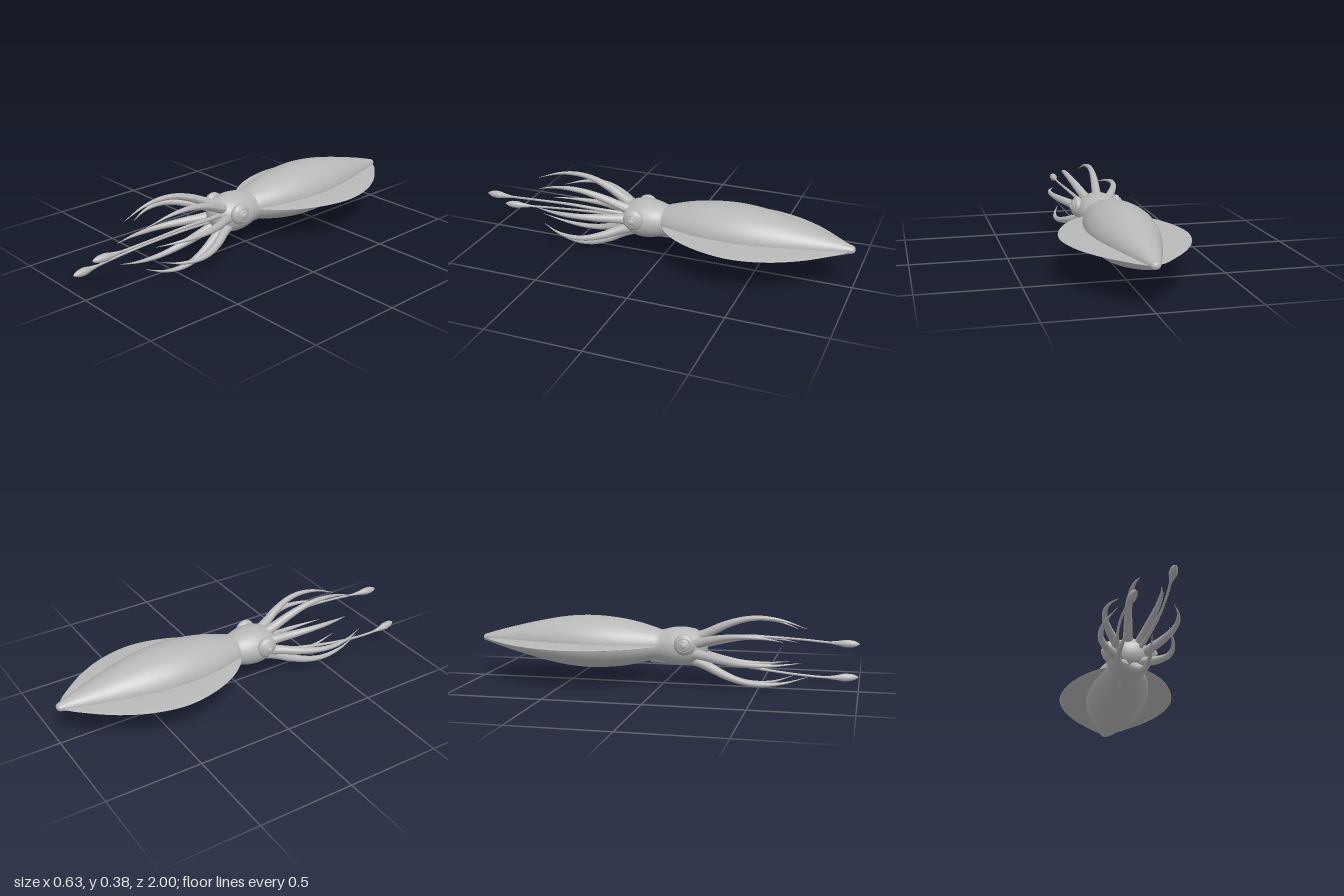
import * as THREE from 'three';

const skin = new THREE.MeshStandardMaterial({ color: 0xb8b8b8 });
skin.name = 'grey skin';

function add(parent, name, geometry) {
  const mesh = new THREE.Mesh(geometry, skin);
  mesh.name = name;
  parent.add(mesh);
  return mesh;
}

// Smooth body of revolution along z from [radius, z] points, squashed in height
function spun(profile, squash, y, segments = 48, divisions = 60) {
  const curve = new THREE.CatmullRomCurve3(profile.map(([r, z]) => new THREE.Vector3(r, z, 0)), false, 'centripetal');
  const points = curve.getPoints(divisions).map(p => new THREE.Vector2(Math.max(p.x, 0), p.y));
  return new THREE.LatheGeometry(points, segments)
    .rotateX(Math.PI / 2).scale(1, squash, 1).translate(0, y, 0);
}

// Round tube along a path, its radius interpolated from [t, radius] stops
function taperedTube(points, stops, segments = 40, sides = 14) {
  const curve = new THREE.CatmullRomCurve3(points.map(p => new THREE.Vector3(...p)));
  const geometry = new THREE.TubeGeometry(curve, segments, 1, sides);
  const pos = geometry.attributes.position;
  const v = new THREE.Vector3();
  for (let i = 0; i <= segments; i++) {
    const t = i / segments;
    let k = 0;
    while (k < stops.length - 2 && t > stops[k + 1][0]) k++;
    const [t0, r0] = stops[k], [t1, r1] = stops[k + 1];
    const radius = THREE.MathUtils.lerp(r0, r1, THREE.MathUtils.smoothstep(t, t0, t1) * 0.4 + 0.6 * (t - t0) / (t1 - t0));
    const centre = curve.getPointAt(t);
    for (let j = 0; j <= sides; j++) {
      const n = i * (sides + 1) + j;
      v.fromBufferAttribute(pos, n).sub(centre).multiplyScalar(radius).add(centre);
      pos.setXYZ(n, v.x, v.y, v.z);
    }
  }
  geometry.computeVertexNormals();
  return geometry;
}

export function createModel() {
  const squid = new THREE.Group();
  squid.name = 'squid';

  // Mantle with a rolled-in front rim
  add(squid, 'mantle', spun([
    [0, -1], [0.018, -0.993], [0.03, -0.965], [0.054, -0.9], [0.09, -0.79], [0.13, -0.65],
    [0.158, -0.52], [0.168, -0.4], [0.16, -0.27], [0.137, -0.15], [0.108, -0.06],
    [0.092, -0.02], [0.086, -0.012], [0.07, -0.03],
  ], 0.815, 0.21, 56, 90));

  // Both fins: one thin lens running through the mantle
  add(squid, 'fins', spun([
    [0, -0.975], [0.045, -0.96], [0.12, -0.885], [0.21, -0.77], [0.28, -0.63], [0.314, -0.47],
    [0.295, -0.32], [0.235, -0.17], [0.16, -0.07], [0.1, -0.025], [0, -0.02],
  ], 0.04, 0.209, 48));

  // Head
  add(squid, 'head', spun([
    [0, -0.06], [0.08, -0.05], [0.094, 0], [0.108, 0.05], [0.113, 0.1], [0.107, 0.145],
    [0.09, 0.185], [0.06, 0.215], [0.03, 0.228], [0, 0.232],
  ], 0.89, 0.202));

  // Siphon below the head
  add(squid, 'siphon', taperedTube(
    [[0, 0.155, -0.06], [0, 0.145, 0], [0, 0.134, 0.06], [0, 0.13, 0.11]],
    [[0, 0.045], [0.5, 0.036], [0.9, 0.022], [1, 0.001]], 20));

  // Eyes: ball, iris ring and pupil
  for (const side of [1, -1]) {
    const eye = new THREE.Group();
    eye.name = side > 0 ? 'leftEye' : 'rightEye';
    eye.position.set(side * 0.105, 0.226, 0.13);
    eye.rotation.y = side * Math.PI / 2;
    add(eye, 'eyeball', new THREE.SphereGeometry(0.055, 28, 18).scale(1, 1, 0.55));
    add(eye, 'iris', new THREE.SphereGeometry(0.034, 24, 14).scale(1, 1, 0.4)).position.z = 0.022;
    add(eye, 'irisRing', new THREE.TorusGeometry(0.034, 0.004, 8, 28)).position.z = 0.024;
    add(eye, 'pupil', new THREE.SphereGeometry(0.015, 16, 10).scale(1, 1, 0.5)).position.z = 0.034;
    squid.add(eye);
  }

  // Eight arms fanned around the mouth: bulging out, then curling inwards
  const reaches = [0.68, 0.69, 0.74, 0.63, 0.72, 0.75, 0.67, 0.64];
  const bend = [[0.05, 0.14], [0.085, 0.22], [0.137, 0.32], [0.172, 0.42], [0.181, 0.51], [0.168, 0.61], [0.13, 0.72]];
  reaches.forEach((reach, i) => {
    const angle = THREE.MathUtils.degToRad(13 + 45 * i);
    const path = bend.map(([r, z]) => [
      Math.cos(angle) * r * 1.05,
      0.19 + Math.sin(angle) * r,
      0.14 + (z - 0.14) * (reach - 0.14) / 0.58,
    ]);
    add(squid, 'arm' + (i + 1), taperedTube(path, [[0, 0.03], [0.2, 0.023], [0.6, 0.013], [1, 0.001]]));
  });

  // Two long tentacles ending in clubs
  const club = [[0, 0.013], [0.25, 0.009], [0.6, 0.006], [0.82, 0.006], [0.87, 0.012], [0.92, 0.02], [0.96, 0.018], [0.99, 0.009], [1, 0.001]];
  add(squid, 'leftTentacle', taperedTube(
    [[0.03, 0.215, 0.15], [0.065, 0.232, 0.3], [0.092, 0.248, 0.5], [0.094, 0.242, 0.7], [0.086, 0.232, 0.86], [0.081, 0.23, 1]],
    club, 70));
  add(squid, 'rightTentacle', taperedTube(
    [[-0.03, 0.165, 0.15], [-0.075, 0.145, 0.3], [-0.108, 0.122, 0.5], [-0.12, 0.102, 0.7], [-0.112, 0.092, 0.86], [-0.09, 0.095, 1]],
    club, 70));

  return squid;
}
